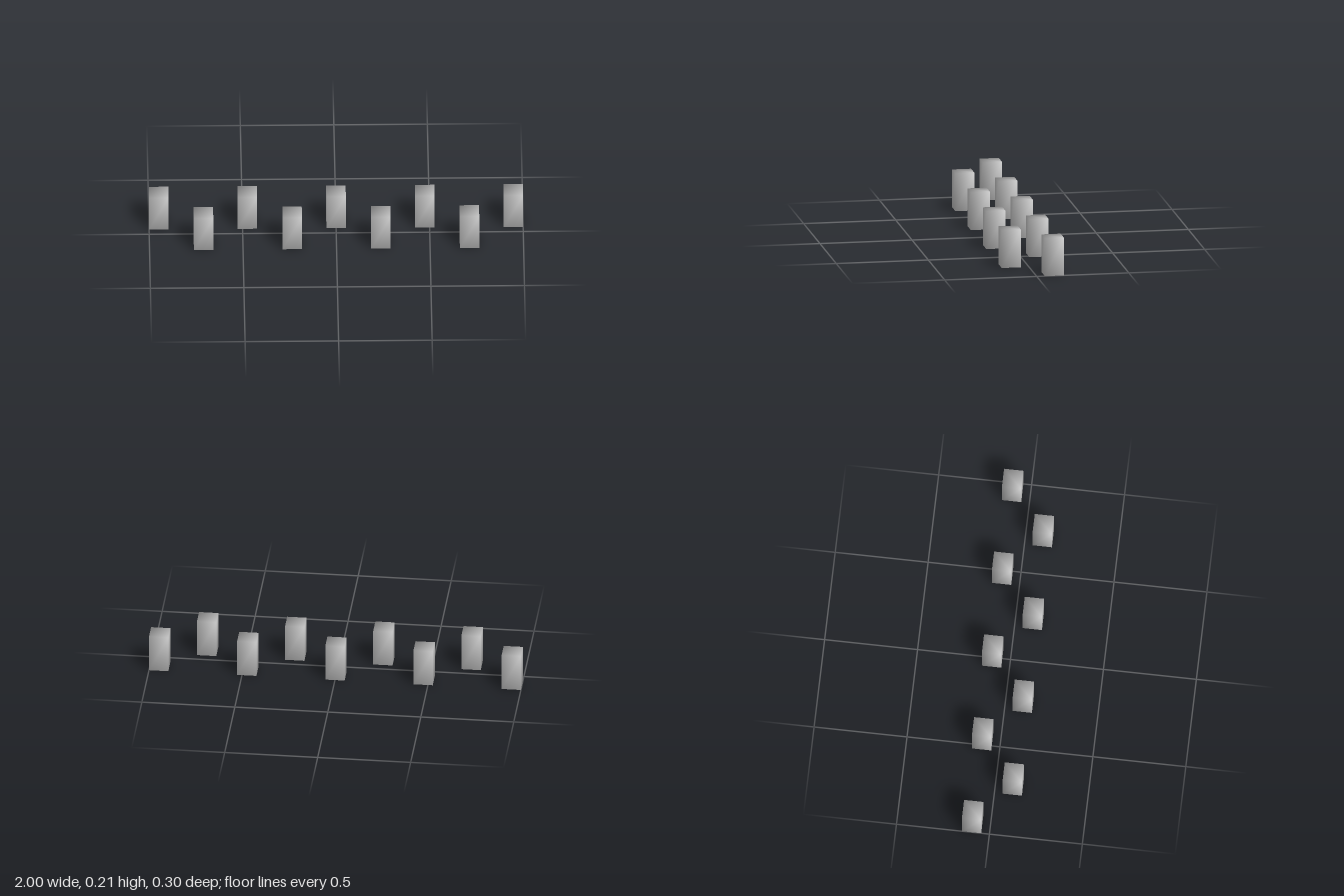
import * as THREE from 'three';
import { mergeVertices } from 'three/addons/utils/BufferGeometryUtils.js';

const WIDTH = 0.104, HEIGHT = 0.206, COUNT = 9;
const SPACING = (2 - WIDTH) / (COUNT - 1);
const ROW_Z = 0.096;

// Box with shared corners, so its normals are smooth
function smoothBox(w, h, d) {
  const box = new THREE.BoxGeometry(w, h, d);
  box.deleteAttribute('normal');
  box.deleteAttribute('uv');
  const merged = mergeVertices(box);
  merged.computeVertexNormals();
  return merged;
}

export function createModel() {
  const model = new THREE.Group();
  model.name = 'staggeredBlocks';
  const material = new THREE.MeshStandardMaterial({ color: 0xcccccc });
  const geometry = smoothBox(WIDTH, HEIGHT, WIDTH);

  // Evenly spaced blocks alternating between the back and front rows
  for (let i = 0; i < COUNT; i++) {
    const back = i % 2 === 0;
    const block = new THREE.Mesh(geometry, material);
    block.name = `${back ? 'back' : 'front'}Block${Math.floor(i / 2) + 1}`;
    block.position.set((i - (COUNT - 1) / 2) * SPACING, HEIGHT / 2, back ? -ROW_Z : ROW_Z);
    model.add(block);
  }
  return model;
}
